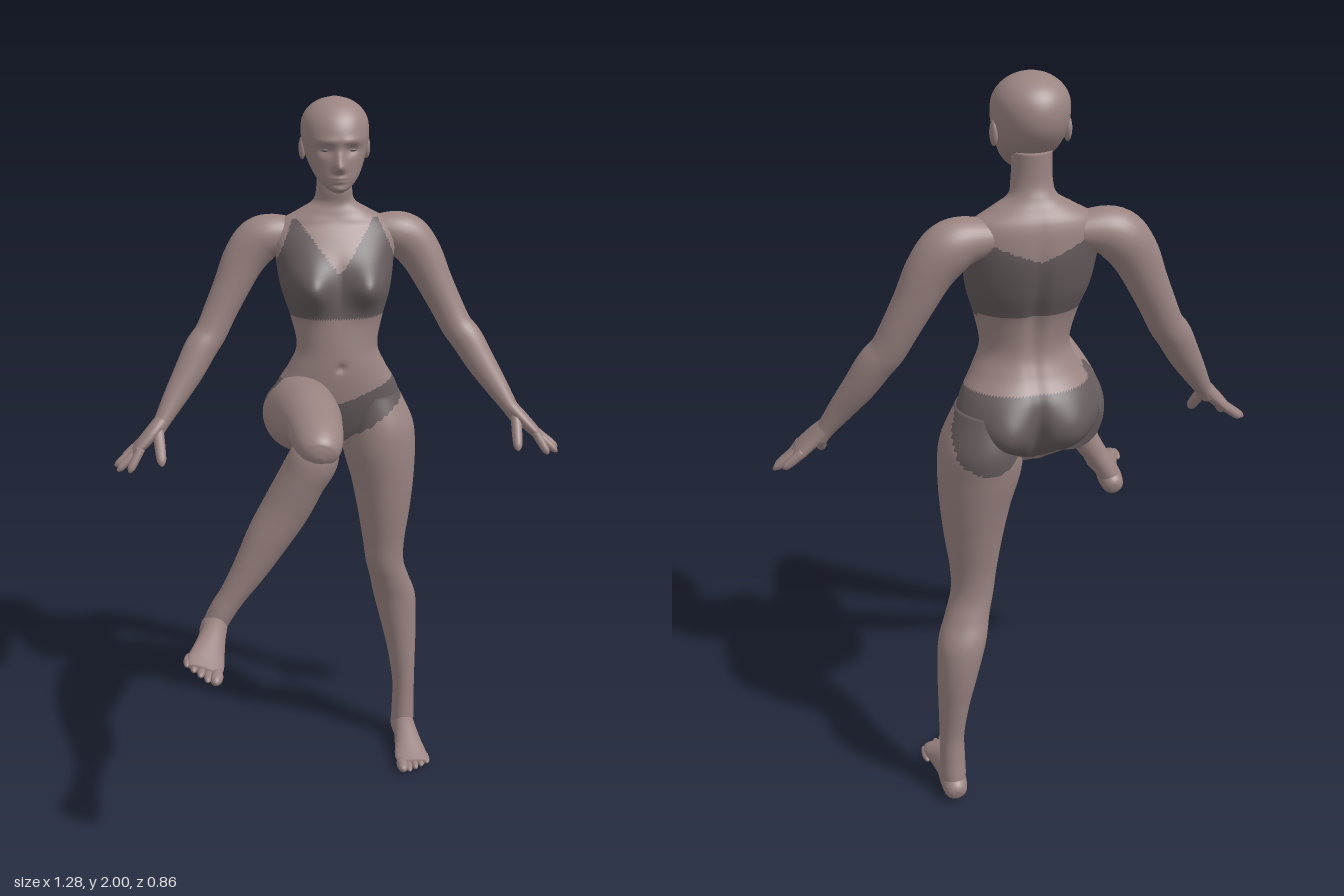
import * as THREE from 'three';

const skin = new THREE.MeshStandardMaterial({ color: 0x9a8482 });
skin.name = 'skin';
const cloth = new THREE.MeshStandardMaterial({ color: 0x655b5c });
cloth.name = 'cloth';

const V = (x, y, z) => new THREE.Vector3(x, y, z);
const clamp = (t) => Math.min(1, Math.max(0, t));
const bell = (dx, dy, s, t = s) => Math.exp(-((dx / s) ** 2) - (dy / t) ** 2);

// Smooth interpolation through rows of numbers
function sample(rows, t) {
  const f = t * (rows.length - 1), i = Math.min(Math.floor(f), rows.length - 2), u = f - i;
  const at = (k) => rows[Math.min(rows.length - 1, Math.max(0, k))];
  const [a, b, c, d] = [at(i - 1), at(i), at(i + 1), at(i + 2)];
  return b.map((p, k) => p + 0.5 * u * (c[k] - a[k]
    + u * (2 * a[k] - 5 * p + 4 * c[k] - d[k] + u * (3 * (p - c[k]) + d[k] - a[k]))));
}

// Skin of elliptic rings; rows are [x, y, z, radius along ref, radius across]
function loft(name, rows, ref, { steps = 50, sides = 28, axis, deform, isCloth } = {}) {
  const pos = [], main = [], dark = [];
  for (let i = 0; i <= steps; i++) {
    const t = i / steps, [x, y, z, ra, rb] = sample(rows, t), c = V(x, y, z);
    const dir = axis ? axis.clone()
      : V(...sample(rows, Math.min(1, t + 0.01))).sub(V(...sample(rows, Math.max(0, t - 0.01)))).normalize();
    const side = ref.clone().addScaledVector(dir, -ref.dot(dir)).normalize();
    const up = dir.clone().cross(side);
    for (let j = 0; j < sides; j++) {
      const a = (j / sides) * Math.PI * 2;
      const p = c.clone().addScaledVector(side, ra * Math.cos(a)).addScaledVector(up, rb * Math.sin(a));
      if (deform) deform(p);
      pos.push(p.x, p.y, p.z);
    }
  }
  const first = pos.length / 3, last = rows[rows.length - 1];
  pos.push(...rows[0].slice(0, 3), ...last.slice(0, 3));
  const tri = (...ids) => {
    const m = [0, 1, 2].map((k) => ids.reduce((s, v) => s + pos[v * 3 + k] / 3, 0));
    (isCloth && isCloth(...m) ? dark : main).push(...ids);
  };
  for (let j = 0; j < sides; j++) {
    const n = (j + 1) % sides, e = steps * sides;
    tri(first, n, j);
    tri(first + 1, e + j, e + n);
    for (let i = 0; i < steps; i++) {
      const a = i * sides, b = a + sides;
      tri(a + j, a + n, b + n);
      tri(a + j, b + n, b + j);
    }
  }
  const g = new THREE.BufferGeometry();
  g.setAttribute('position', new THREE.Float32BufferAttribute(pos, 3));
  g.setIndex([...main, ...dark]);
  g.computeVertexNormals();
  g.addGroup(0, main.length, 0);
  if (dark.length) g.addGroup(main.length, dark.length, 1);
  const mesh = new THREE.Mesh(g, dark.length ? [skin, cloth] : skin);
  mesh.name = name;
  return mesh;
}

function ellipsoid(name, mat, p, r) {
  const m = new THREE.Mesh(new THREE.SphereGeometry(1, 16, 12), mat);
  m.name = name;
  m.position.set(...p);
  m.scale.set(...r);
  return m;
}

// Rows [y, half width, back z, front z] to upright rings
const upright = (rows) => rows.map(([y, w, b, f]) => [0, y, (b + f) / 2, w, (f - b) / 2]);

// Where the top covers the chest
function top(x, y, z) {
  const a = Math.abs(x);
  if (z > -0.28) return y > 1.41 && y < Math.min(1.528 + 1.35 * a, 1.67) && a < 0.12 + 0.42 * (1.67 - y);
  return y > 1.42 && y < 1.57 + 0.4 * a;
}
// Where the briefs cover the hips
function briefs(x, y, z) {
  const a = Math.abs(x), front = z > -0.27;
  const low = front ? 1.03 + 0.7 * a : Math.min(1.03 + 0.7 * a, 1.44 + z);
  return y > low && y < (front ? Math.min(1.165 + 0.35 * a, 1.225) : 1.225);
}

// Bust, buttocks, spine groove and navel
function shapeTorso(p) {
  const a = Math.abs(p.x), front = clamp((p.z + 0.28) / 0.06), back = clamp((-0.28 - p.z) / 0.06);
  p.z += front * (0.06 * bell(a - 0.082, p.y - 1.495, 0.055, 0.06) - 0.008 * bell(p.x, p.y - 1.27, 0.012)
    + 0.006 * bell(a - 0.08, p.y - 1.67, 0.06, 0.012));
  p.z -= back * ((p.x > 0 ? 0.042 : 0.03) * bell(a - 0.09, p.y - 1.115, 0.065, 0.075)
    - 0.012 * bell(p.x, p.y - 1.4, 0.022, 0.18) - 0.02 * bell(p.x, p.y - 1.1, 0.018, 0.08));
}

// Nose, eye sockets, lips and chin
function shapeHead(p) {
  if (p.z < -0.25) return;
  const a = Math.abs(p.x);
  p.z += 0.024 * bell(p.x, p.y - 1.822, 0.014, 0.015) + 0.012 * bell(p.x, p.y - 1.845, 0.011, 0.022)
    - 0.012 * bell(a - 0.036, p.y - 1.866, 0.02, 0.014) + 0.005 * bell(a - 0.035, p.y - 1.89, 0.03, 0.01)
    + 0.006 * bell(p.x, p.y - 1.793, 0.02, 0.006) + 0.005 * bell(p.x, p.y - 1.783, 0.018, 0.005)
    + 0.005 * bell(p.x, p.y - 1.762, 0.02, 0.01);
}

// Foot standing on its own origin, toes toward +z; s is the outer side
function foot(name, s) {
  const g = new THREE.Group();
  g.name = name;
  g.add(loft('sole', [
    [0, 0.03, -0.057, 0.012, 0.014], [0, 0.034, -0.042, 0.03, 0.032], [0, 0.042, 0, 0.036, 0.042],
    [0, 0.045, 0.05, 0.035, 0.044], [0, 0.033, 0.11, 0.042, 0.033], [0, 0.021, 0.165, 0.05, 0.02],
    [0, 0.015, 0.2, 0.042, 0.012],
  ], V(1, 0, 0), { steps: 30 }));
  [0.245, 0.24, 0.228, 0.215, 0.2].forEach((tip, i) => {
    const r = i ? 0.0115 : 0.017;
    g.add(ellipsoid('toe', skin, [s * (-0.035 + i * 0.02), r, tip - 0.035], [r, r, 0.035]));
  });
  return g;
}

// Arm with hand for side s
function arm(s) {
  const g = new THREE.Group(), ref = V(0.8 * s, 0.55, 0);
  g.name = s > 0 ? 'leftArm' : 'rightArm';
  const part = (name, rows, o) => g.add(loft(name, rows.map(([x, ...r]) => [x * s, ...r]), ref, o));
  part('armLimb', [
    [0.1, 1.625, -0.325, 0.04, 0.045], [0.17, 1.62, -0.325, 0.058, 0.06], [0.215, 1.6, -0.328, 0.065, 0.062],
    [0.255, 1.55, -0.325, 0.06, 0.057], [0.29, 1.48, -0.318, 0.052, 0.052], [0.325, 1.41, -0.308, 0.047, 0.047],
    [0.355, 1.35, -0.295, 0.045, 0.044], [0.385, 1.31, -0.28, 0.046, 0.044], [0.42, 1.25, -0.26, 0.042, 0.04],
    [0.465, 1.18, -0.232, 0.033, 0.032], [0.5, 1.125, -0.21, 0.024, 0.029], [0.52, 1.095, -0.2, 0.022, 0.03],
  ]);
  part('palm', [
    [0.5, 1.125, -0.21, 0.022, 0.028], [0.535, 1.09, -0.193, 0.02, 0.038],
    [0.57, 1.055, -0.183, 0.016, 0.043], [0.585, 1.04, -0.18, 0.01, 0.036],
  ], { steps: 16 });
  const tips = [[0.6, 1.0, -0.125], [0.633, 0.997, -0.15], [0.64, 1.003, -0.177], [0.618, 1.017, -0.208]];
  const digit = (name, a, b, r) => {
    const at = (t, k) => [...a.map((v, i) => v + (b[i] - v) * t), r * k, r * k];
    part(name, [at(0, 1), at(0.5, 0.95), at(0.85, 0.8), at(1, 0.25)], { steps: 12, sides: 12 });
  };
  tips.forEach((t, i) => digit('finger', [0.565, 1.06, -0.151 - i * 0.021], t, 0.0125));
  digit('thumb', [0.515, 1.1, -0.185], [0.508, 1.018, -0.115], 0.016);
  return g;
}

export function createModel() {
  const body = new THREE.Group();
  body.name = 'figure';
  const X = V(1, 0, 0), Y = V(0, 1, 0);

  // Torso and neck
  body.add(loft('torso', upright([
    [1.025, 0.05, -0.33, -0.21], [1.08, 0.155, -0.375, -0.185], [1.14, 0.187, -0.395, -0.167],
    [1.2, 0.172, -0.39, -0.155], [1.26, 0.138, -0.355, -0.15], [1.32, 0.115, -0.335, -0.152],
    [1.4, 0.13, -0.345, -0.16], [1.48, 0.155, -0.375, -0.17], [1.56, 0.167, -0.392, -0.185],
    [1.62, 0.172, -0.392, -0.215], [1.66, 0.15, -0.385, -0.242], [1.69, 0.1, -0.37, -0.252],
    [1.715, 0.06, -0.357, -0.257], [1.75, 0.05, -0.346, -0.25], [1.82, 0.048, -0.346, -0.25],
  ]), X, {
    steps: 150, sides: 112, axis: Y, deform: shapeTorso,
    isCloth: (x, y, z) => top(x, y, z) || briefs(x, y, z),
  }));

  // Head
  body.add(loft('head', upright([
    [1.752, 0.012, -0.215, -0.187], [1.765, 0.034, -0.24, -0.177], [1.79, 0.057, -0.285, -0.174],
    [1.82, 0.073, -0.335, -0.173], [1.86, 0.086, -0.372, -0.172], [1.9, 0.093, -0.386, -0.17],
    [1.94, 0.09, -0.381, -0.184], [1.97, 0.072, -0.36, -0.21], [1.99, 0.043, -0.325, -0.243],
    [1.999, 0.01, -0.29, -0.272],
  ]), X, { steps: 90, sides: 72, axis: Y, deform: shapeHead }));
  for (const s of [-1, 1]) {
    body.add(ellipsoid('ear', skin, [0.089 * s, 1.862, -0.288], [0.01, 0.031, 0.018]));
    body.add(ellipsoid('eye', cloth, [0.036 * s, 1.866, -0.193], [0.013, 0.0045, 0.0048]));
    body.add(arm(s));
  }

  // Standing leg
  body.add(loft('leftLeg', [
    [0.216, 0.03, -0.32, 0.03, 0.04], [0.216, 0.07, -0.315, 0.035, 0.045], [0.216, 0.13, -0.312, 0.034, 0.04],
    [0.216, 0.2, -0.31, 0.034, 0.039], [0.21, 0.3, -0.315, 0.042, 0.05], [0.2, 0.4, -0.32, 0.054, 0.062],
    [0.185, 0.5, -0.315, 0.064, 0.067], [0.165, 0.57, -0.293, 0.059, 0.061], [0.148, 0.63, -0.277, 0.057, 0.06],
    [0.143, 0.7, -0.272, 0.062, 0.067], [0.142, 0.8, -0.272, 0.077, 0.087], [0.138, 0.9, -0.276, 0.092, 0.106],
    [0.127, 1.0, -0.28, 0.107, 0.123], [0.122, 1.08, -0.285, 0.104, 0.127], [0.105, 1.17, -0.28, 0.08, 0.1],
  ], X, { steps: 120, sides: 56, axis: Y, isCloth: briefs }));
  const leftFoot = foot('leftFoot', 1);
  leftFoot.position.set(0.216, 0, -0.315);
  body.add(leftFoot);

  // Raised leg
  body.add(loft('rightThigh', [
    [-0.1, 1.12, -0.32, 0.08, 0.085], [-0.112, 1.125, -0.24, 0.102, 0.104], [-0.115, 1.146, -0.14, 0.102, 0.104],
    [-0.113, 1.168, -0.04, 0.095, 0.095], [-0.11, 1.185, 0.05, 0.086, 0.083], [-0.108, 1.193, 0.13, 0.075, 0.065],
    [-0.108, 1.185, 0.2, 0.068, 0.06], [-0.111, 1.17, 0.25, 0.058, 0.054], [-0.114, 1.158, 0.275, 0.04, 0.038],
    [-0.115, 1.152, 0.287, 0.012, 0.012],
  ], X, { steps: 80, sides: 48, isCloth: (x, y, z) => y < 1.225 && z < -0.23 + 0.5 * (y - 1.12) }));
  body.add(loft('rightShin', [
    [-0.104, 1.215, 0.222, 0.03, 0.03], [-0.115, 1.15, 0.222, 0.062, 0.063], [-0.15, 1.08, 0.208, 0.062, 0.07],
    [-0.19, 1.0, 0.197, 0.063, 0.067], [-0.238, 0.92, 0.195, 0.058, 0.06], [-0.29, 0.83, 0.196, 0.046, 0.048],
    [-0.335, 0.76, 0.195, 0.036, 0.041], [-0.367, 0.71, 0.192, 0.034, 0.042], [-0.39, 0.665, 0.188, 0.032, 0.042],
  ], X, { steps: 60 }));
  const rightFoot = foot('rightFoot', -1);
  rightFoot.position.set(-0.408, 0.622, 0.195);
  rightFoot.rotation.set(0, -0.12, -0.4);
  body.add(rightFoot);
  return body;
}
